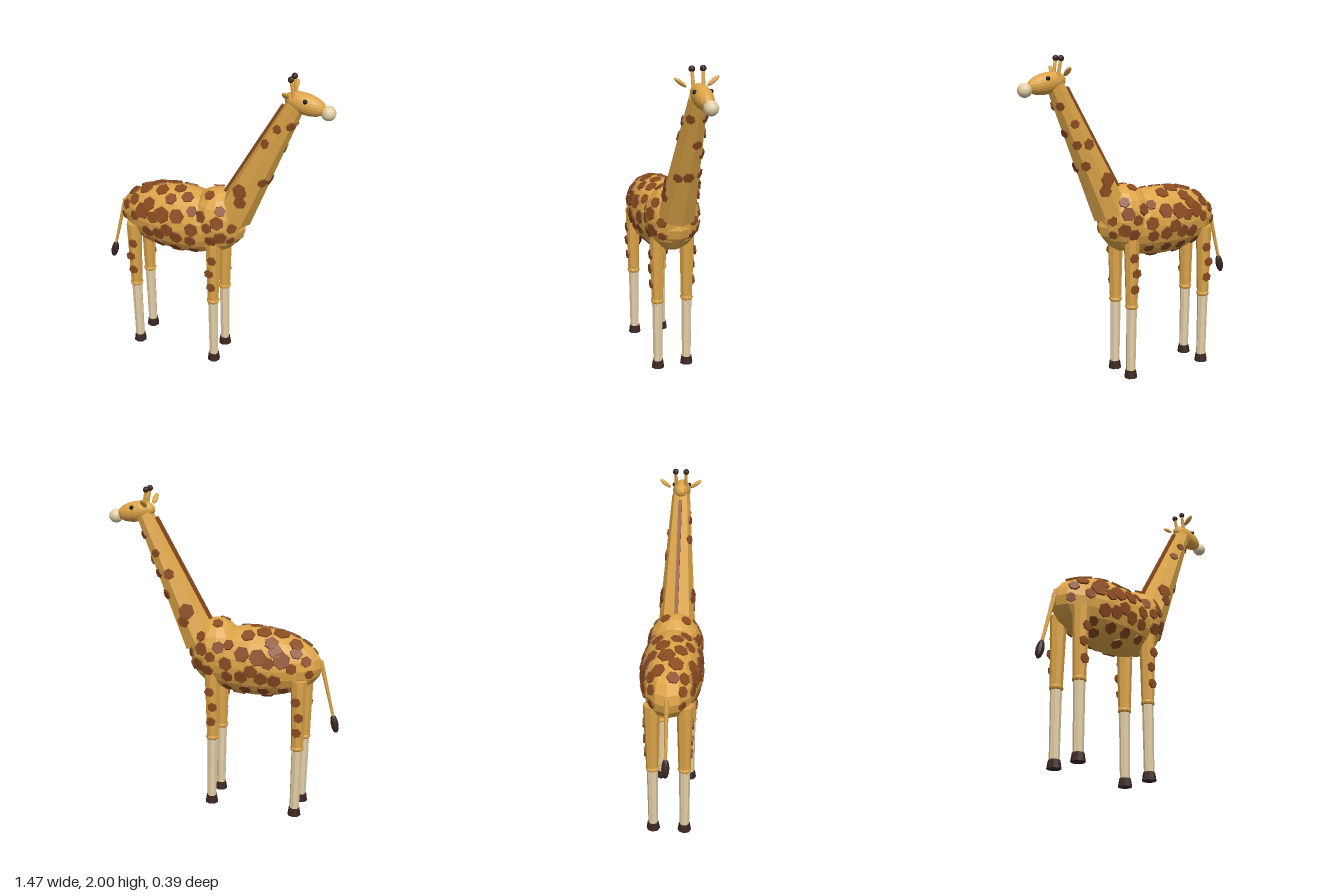
import * as THREE from 'three';

const V = (x, y, z) => new THREE.Vector3(x, y, z);
const UP = V(0, 1, 0);

function paint(name, color) {
  const m = new THREE.MeshStandardMaterial({ color, flatShading: true });
  m.name = name;
  return m;
}

export function createModel() {
  const model = new THREE.Group();
  model.name = 'giraffe';
  const tan = paint('tan coat', 0xdca448);
  const brown = paint('brown patches', 0x8a4b20);
  const cream = paint('cream', 0xe3cfa6);
  const dark = paint('dark hoof', 0x3a2620);
  const black = paint('eye black', 0x15100e);

  function add(name, geo, mat, parent = model) {
    const mesh = new THREE.Mesh(geo, mat);
    mesh.name = name;
    parent.add(mesh);
    return mesh;
  }
  function ellipsoid(name, c, r, mat, w = 16, h = 12) {
    const mesh = add(name, new THREE.SphereGeometry(1, w, h), mat);
    mesh.position.copy(c);
    mesh.scale.copy(r);
    return mesh;
  }
  // Tapered cylinder running from a to b
  function limb(name, a, b, ra, rb, mat, sides = 8) {
    const d = b.clone().sub(a);
    const mesh = add(name, new THREE.CylinderGeometry(rb, ra, d.length(), sides), mat);
    mesh.position.copy(a).add(b).multiplyScalar(0.5);
    mesh.quaternion.setFromUnitVectors(UP, d.normalize());
    return mesh;
  }
  // Thin six-sided patch lying on a surface
  let turn = 0;
  function patch(p, n, r, parent = model) {
    const geo = new THREE.CylinderGeometry(r * 0.94, r, 0.009, 6);
    geo.rotateY(turn += 0.7);
    const mesh = add('coatPatch', geo, brown, parent);
    mesh.position.copy(p).addScaledVector(n, 0.001);
    mesh.quaternion.setFromUnitVectors(UP, n);
  }

  // Body and shoulders
  const masses = [
    { c: V(-0.2, 0.97, 0), r: V(0.42, 0.215, 0.185) },
    { c: V(0.04, 1.01, 0), r: V(0.17, 0.21, 0.167) },
  ];
  ellipsoid('body', masses[0].c, masses[0].r, tan);
  ellipsoid('shoulders', masses[1].c, masses[1].r, tan, 14, 10);

  // Drop a patch on the outermost body mass along the axis 'y' or 'z'
  function dropPatch(u, v, size, axis, sign) {
    let best = null;
    for (const { c, r } of masses) {
      const other = axis === 'z' ? 'y' : 'z';
      const k = 1 - ((u - c.x) / r.x) ** 2 - ((v - c[other]) / r[other]) ** 2;
      if (k < 0) continue;
      const p = V(u, 0, 0);
      p[other] = v;
      p[axis] = c[axis] + sign * r[axis] * Math.sqrt(k);
      if (best && Math.abs(best.p[axis] - c[axis]) > Math.abs(p[axis] - c[axis])) continue;
      best = { p, n: p.clone().sub(c).divide(r).divide(r).normalize() };
    }
    if (best) patch(best.p, best.n, size);
  }

  // Flank patches: x, y, radius
  const flank = [
    [-0.55, 1.03, 0.035], [-0.57, 0.95, 0.03], [-0.49, 1.08, 0.04], [-0.47, 0.99, 0.035],
    [-0.41, 1.04, 0.055], [-0.37, 1.09, 0.045], [-0.37, 0.91, 0.045], [-0.42, 0.84, 0.035],
    [-0.27, 1.05, 0.055], [-0.33, 1.02, 0.04], [-0.29, 0.92, 0.045], [-0.23, 0.96, 0.045],
    [-0.17, 1.06, 0.05], [-0.17, 0.92, 0.045], [-0.3, 0.83, 0.04], [-0.19, 0.83, 0.04],
    [-0.07, 0.99, 0.045], [-0.08, 0.91, 0.04], [-0.07, 0.83, 0.035], [-0.02, 1.08, 0.04],
    [0.03, 1.02, 0.035], [0.05, 0.93, 0.04], [0.09, 1.06, 0.045], [0.11, 0.96, 0.045],
    [0.16, 0.93, 0.03], [0.17, 1.02, 0.035], [0.1, 1.13, 0.035], [-0.08, 1.1, 0.035],
  ];
  for (const side of [1, -1])
    for (const [x, y, r] of flank) dropPatch(side > 0 ? x : x + 0.01, y, r, 'z', side);

  // Back patches: x, z, radius
  const back = [
    [-0.52, 0.03, 0.04], [-0.47, -0.06, 0.045], [-0.43, 0.04, 0.05], [-0.37, -0.02, 0.055],
    [-0.31, 0.06, 0.045], [-0.27, -0.05, 0.05], [-0.2, 0.03, 0.04], [-0.18, -0.09, 0.045],
    [-0.23, 0.11, 0.04], [-0.33, -0.11, 0.045], [-0.13, 0.08, 0.04], [0.01, 0.07, 0.035],
    [0.02, -0.06, 0.035],
  ];
  for (const [x, z, r] of back) dropPatch(x, z, r, 'y', 1);
  // A few belly patches
  for (const [x, z] of [[-0.38, 0.07], [-0.3, -0.08], [-0.2, 0.08], [-0.12, -0.07]])
    dropPatch(x, z, 0.04, 'y', -1);

  // Legs
  for (const [x, label] of [[-0.5, 'hind'], [0.045, 'front']]) {
    for (const s of [1, -1]) {
      const z = s * 0.097;
      limb(label + 'UpperLeg', V(x, 0.46, z), V(x, 0.91, z), 0.037, 0.05, tan);
      ellipsoid(label + 'Knee', V(x, 0.465, z), V(0.042, 0.025, 0.042), tan, 12, 8);
      limb(label + 'LowerLeg', V(x + 0.006, 0.04, z), V(x, 0.46, z), 0.03, 0.034, cream);
      limb(label + 'Hoof', V(x + 0.006, 0, z), V(x + 0.006, 0.05, z), 0.042, 0.034, dark);
      [[0.78, 0.008], [0.68, -0.012], [0.58, 0]].forEach(([y, dx]) =>
        patch(V(x + dx, y, z + s * (0.037 + (y - 0.46) * 0.029)), V(0, 0, s), 0.032));
    }
  }

  // Neck: local +y runs up the neck, local +x is the throat
  const base = V(0.14, 1.06, 0), top = V(0.5, 1.83, 0);
  const neckLen = base.distanceTo(top);
  const neck = new THREE.Group();
  neck.name = 'neck';
  neck.position.copy(base);
  neck.quaternion.setFromUnitVectors(UP, top.clone().sub(base).normalize());
  model.add(neck);
  const R0 = 0.118, R1 = 0.055;
  add('neckColumn', new THREE.CylinderGeometry(R1, R0, neckLen, 8), tan, neck).position.y = neckLen / 2;

  // Mane along the back of the neck
  const slope = Math.atan2(R0 - R1, neckLen);
  const mane = add('mane', new THREE.BoxGeometry(0.025, neckLen * 0.9, 0.022), brown, neck);
  mane.position.set(-(R0 + R1) / 2, neckLen * 0.5, 0);
  mane.rotation.z = -slope;

  // Neck patches: height fraction, degrees from the throat, radius
  const neckSpots = [
    [0.26, 105, 0.05], [0.19, 85, 0.04], [0.67, 120, 0.03], [0.81, 105, 0.028], [0.87, 45, 0.03],
    [0.42, 5, 0.035], [0.68, -10, 0.03], [0.42, -50, 0.032], [0.4, 45, 0.032], [0.87, -45, 0.028],
    [0.72, -80, 0.028], [0.55, -100, 0.035], [0.58, -50, 0.03], [0.26, -105, 0.05], [0.2, -80, 0.04],
  ];
  for (const [t, deg, r] of neckSpots) {
    const a = THREE.MathUtils.degToRad(deg);
    const rad = (R0 + (R1 - R0) * t) * 0.97;
    const n = V(Math.cos(a), Math.sin(slope), Math.sin(a)).normalize();
    patch(V(Math.cos(a) * rad, t * neckLen, Math.sin(a) * rad), n, r, neck);
  }

  // Head and muzzle
  ellipsoid('head', V(0.555, 1.843, 0), V(0.125, 0.062, 0.055), tan).rotation.z = -0.2;
  ellipsoid('muzzle', V(0.69, 1.808, 0), V(0.042, 0.042, 0.042), cream);

  // Eyes, ears and horns
  for (const s of [1, -1]) {
    ellipsoid('eye', V(0.566, 1.872, s * 0.046), V(0.013, 0.013, 0.013), black, 10, 8);
    const ear = ellipsoid('ear', V(0.468, 1.91, s * 0.094), V(0.018, 0.012, 0.043), tan, 10, 8);
    ear.rotation.x = -s * 0.65;
    limb('horn', V(0.495, 1.88, s * 0.028), V(0.476, 1.98, s * 0.032), 0.012, 0.009, tan);
    ellipsoid('hornTip', V(0.476, 1.982, s * 0.032), V(0.018, 0.018, 0.018), dark, 10, 8);
  }

  // Tail and tuft
  limb('tail', V(-0.7, 0.65, 0), V(-0.61, 1.01, 0), 0.009, 0.014, tan);
  ellipsoid('tailTuft', V(-0.708, 0.612, 0), V(0.024, 0.06, 0.024), dark, 10, 8).rotation.z = -0.22;

  return model;
}
